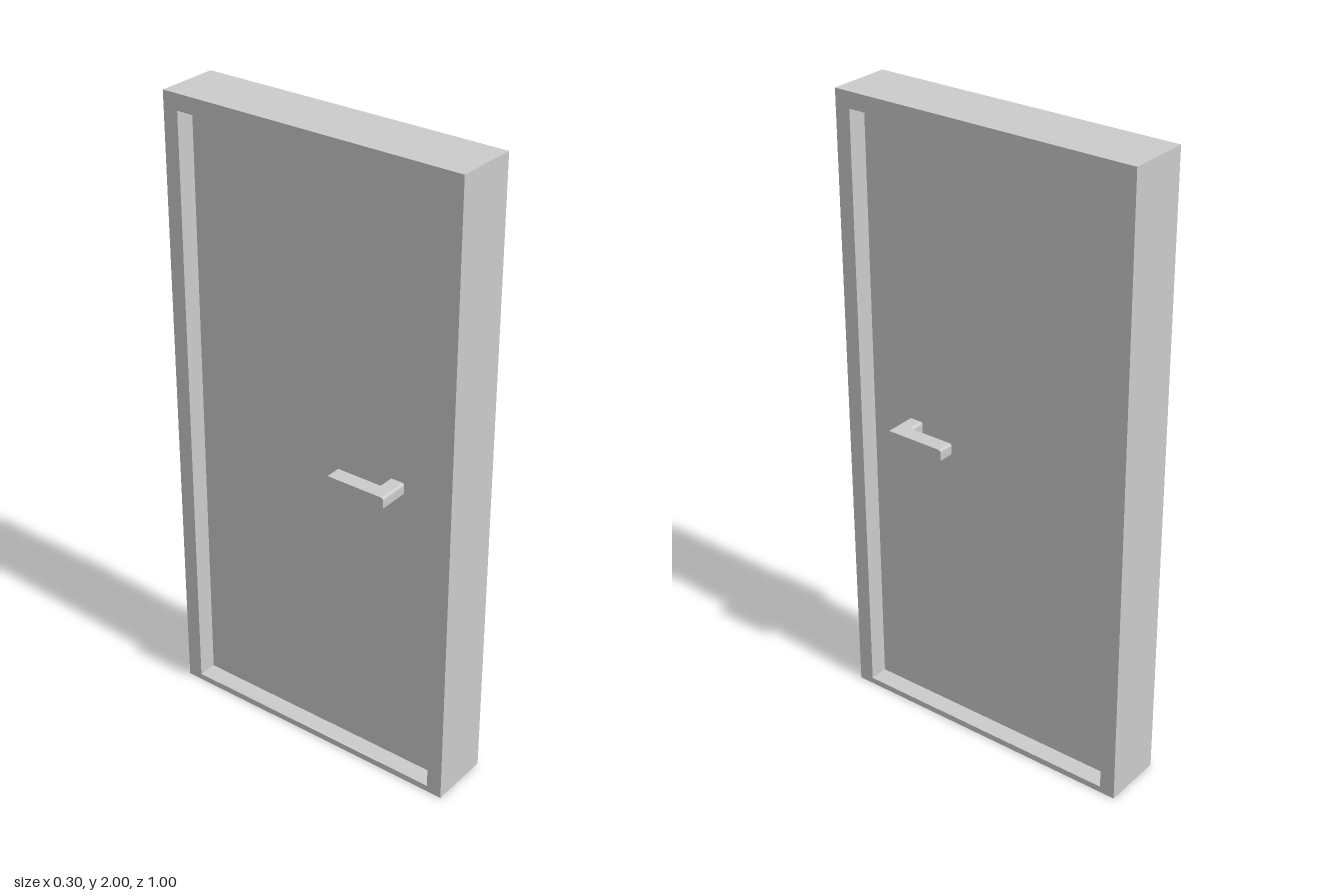
import * as THREE from 'three';

const material = new THREE.MeshStandardMaterial({ color: 0xcccccc });

// Rectangle in the z-y plane, with optional rounded corners
function rect(path, z0, z1, y0, y1, r = 0) {
  if (!r) {
    path.moveTo(z0, y0).lineTo(z1, y0).lineTo(z1, y1).lineTo(z0, y1).closePath();
    return path;
  }
  path.absarc(z1 - r, y0 + r, r, -Math.PI / 2, 0);
  path.absarc(z1 - r, y1 - r, r, 0, Math.PI / 2);
  path.absarc(z0 + r, y1 - r, r, Math.PI / 2, Math.PI);
  path.absarc(z0 + r, y0 + r, r, Math.PI, Math.PI * 1.5);
  path.closePath();
  return path;
}

// Extrudes a z-y shape along x, from x0 to x1
function extrudeX(name, shape, x0, x1) {
  const geometry = new THREE.ExtrudeGeometry(shape, {
    depth: x1 - x0, bevelEnabled: false, curveSegments: 4,
  });
  geometry.rotateY(-Math.PI / 2).translate(x1, 0, 0);
  const mesh = new THREE.Mesh(geometry, material);
  mesh.name = name;
  return mesh;
}

export function createModel() {
  const door = new THREE.Group();
  door.name = 'door';

  // Frame with a thin sill and a through opening
  const frame = rect(new THREE.Shape(), -0.5, 0.5, 0, 2);
  frame.holes.push(rect(new THREE.Path(), -0.45, 0.45, 0.02, 1.95));
  door.add(extrudeX('frame', frame, -0.1, 0.1));

  // Door leaf, with a narrow gap at the sides and bottom
  door.add(extrudeX('leaf', rect(new THREE.Shape(), -0.44, 0.44, 0.03, 1.95), -0.05, 0.05));

  // Lever handle on each face: stem out of the leaf, grip along z
  for (const [side, s] of [['left', 1], ['right', -1]]) {
    const handle = new THREE.Group();
    handle.name = side + 'Handle';
    const span = (a, b) => (s > 0 ? [a, b] : [-b, -a]);
    const stem = rect(new THREE.Shape(), 0.255, 0.305, 0.97, 1.01, 0.008);
    const grip = rect(new THREE.Shape(), 0.105, 0.305, 0.97, 1.01, 0.008);
    handle.add(extrudeX('stem', stem, ...span(0.05, 0.1)));
    handle.add(extrudeX('grip', grip, ...span(0.1, 0.15)));
    door.add(handle);
  }
  return door;
}
